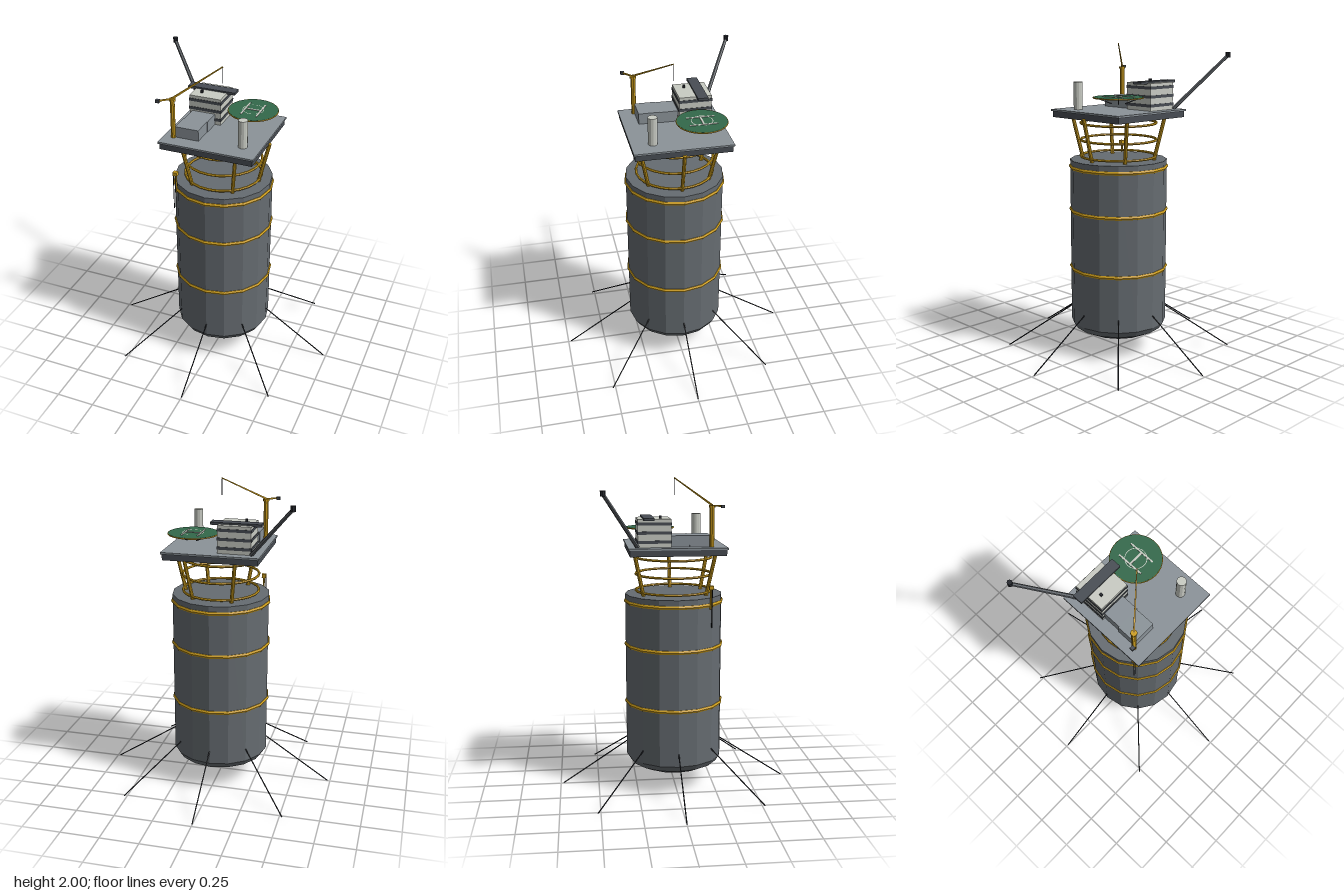
import * as THREE from 'three';

const material = (name, color) => {
  const m = new THREE.MeshStandardMaterial({ color, flatShading: true });
  m.name = name;
  return m;
};

export function createModel() {
  const root = new THREE.Group();
  root.name = 'floatingPlatform';
  const hullGrey = material('hull grey', 0x666c71);
  const yellow = material('safety yellow', 0xd0a01c);
  const deckGrey = material('deck grey', 0x8b9399);
  const darkGrey = material('dark grey', 0x484d54);
  const white = material('off white', 0xc9ccc4);
  const green = material('landing green', 0x33694b);
  const cable = material('cable black', 0x25282e);
  const boomGrey = material('boom grey', 0x60656a);

  const add = (name, geo, mat, x = 0, y = 0, z = 0, parent = root) => {
    const m = new THREE.Mesh(geo, mat);
    m.name = name;
    m.position.set(x, y, z);
    parent.add(m);
    return m;
  };
  // Box given by its lower and upper corners
  const block = (name, mat, a, b) => add(name,
    new THREE.BoxGeometry(b[0] - a[0], b[1] - a[1], b[2] - a[2]), mat,
    (a[0] + b[0]) / 2, (a[1] + b[1]) / 2, (a[2] + b[2]) / 2);
  // Straight round bar between two points
  const bar = (name, mat, a, b, r, sides = 6, r2 = r) => {
    const p = new THREE.Vector3(...a), q = new THREE.Vector3(...b);
    const d = q.clone().sub(p);
    const m = add(name, new THREE.CylinderGeometry(r2, r, d.length(), sides), mat);
    m.position.copy(p).add(q).multiplyScalar(0.5);
    m.quaternion.setFromUnitVectors(new THREE.Vector3(0, 1, 0), d.normalize());
    return m;
  };
  const ring = (name, mat, r, tube, y, segs, x = 0, z = 0) =>
    add(name, new THREE.TorusGeometry(r, tube, 6, segs).rotateX(Math.PI / 2), mat, x, y, z);
  const polar = (deg, r, y, x = 0, z = 0) => {
    const a = THREE.MathUtils.degToRad(deg);
    return [x + r * Math.cos(a), y, z + r * Math.sin(a)];
  };

  // Buoyant hull with rounded bottom
  const profile = [[0, 0.1], [0.12, 0.107], [0.219, 0.129], [0.286, 0.162], [0.31, 0.2], [0.31, 1.27], [0, 1.27]]
    .map(([r, y]) => new THREE.Vector2(r, y));
  add('hull', new THREE.LatheGeometry(profile, 16), hullGrey);
  for (const y of [0.562, 0.943, 1.224]) ring('hullBand', yellow, 0.307, 0.013, y, 16);

  // Eight mooring lines
  for (let i = 0; i < 8; i++) {
    bar('mooringLine', cable, polar(i * 45, 0.308, 0.285), polar(i * 45, 0.732, 0.005), 0.004, 5);
  }

  // Support frame between hull and deck
  for (const y of [1.29, 1.395, 1.502]) ring('frameRing', yellow, 0.242, 0.008, y, 24);
  for (const deg of [0, 55, 125, 240, 305]) {
    bar('frameLeg', yellow, polar(deg, 0.232, 1.265), polar(deg, 0.3, 1.545), 0.012, 8);
  }

  // Deck
  block('deckBeam', darkGrey, [-0.295, 1.537, -0.295], [0.295, 1.577, 0.295]);
  block('deckPlate', deckGrey, [-0.303, 1.575, -0.303], [0.303, 1.587, 0.303]);

  // Living quarters with window bands on all sides
  block('quarters', white, [-0.243, 1.587, -0.243], [-0.037, 1.758, -0.04]);
  for (const y of [1.62, 1.675, 1.73]) {
    block('windowBand', darkGrey, [-0.246, y - 0.009, -0.246], [-0.034, y + 0.009, -0.037]);
  }
  block('roofBeam', darkGrey, [-0.298, 1.752, -0.21], [0.016, 1.768, -0.145]);
  block('roofVent', cable, [-0.192, 1.757, -0.108], [-0.178, 1.775, -0.093]);

  // Equipment modules
  block('moduleRear', deckGrey, [-0.225, 1.587, -0.04], [-0.075, 1.656, 0.075]);
  block('moduleFront', deckGrey, [-0.232, 1.587, 0.075], [-0.08, 1.656, 0.205]);

  // Exhaust stack
  add('exhaustStack', new THREE.CylinderGeometry(0.029, 0.029, 0.175, 12), white, 0.19, 1.673, 0.17);

  // Landing pad with markings and struts
  const hx = 0.14, hz = -0.14, hy = 1.677;
  add('landingPad', new THREE.CylinderGeometry(0.154, 0.154, 0.008, 32), green, hx, hy, hz);
  ring('padEdge', yellow, 0.154, 0.004, hy, 32, hx, hz);
  add('padCircle', new THREE.RingGeometry(0.063, 0.067, 32).rotateX(-Math.PI / 2), white, hx, hy + 0.006, hz);
  for (const s of [-1, 1]) {
    block('padMarkSide', white, [hx + s * 0.05 - 0.005, hy + 0.002, hz - 0.087], [hx + s * 0.05 + 0.005, hy + 0.007, hz + 0.087]);
  }
  block('padMarkBar', white, [hx - 0.05, hy + 0.002, hz - 0.006], [hx + 0.05, hy + 0.007, hz + 0.006]);
  for (let i = 0; i < 4; i++) {
    bar('padStrut', darkGrey, polar(45 + i * 90, 0.04, 1.64, hx, hz), polar(45 + i * 90, 0.13, 1.674, hx, hz), 0.004, 5);
  }

  // Crane
  const cx = -0.242, cz = 0.208;
  bar('cranePost', yellow, [cx, 1.587, cz], [cx, 1.83, cz], 0.015, 8);
  add('craneCap', new THREE.CylinderGeometry(0.02, 0.02, 0.014, 8), yellow, cx, 1.832, cz);
  bar('craneJib', yellow, [cx, 1.84, cz], [-0.003, 1.996, 0.004], 0.007, 4, 0.004);
  bar('counterJib', yellow, [cx, 1.837, cz], [-0.305, 1.837, 0.262], 0.006, 4);
  block('counterweight', darkGrey, [-0.322, 1.826, 0.252], [-0.298, 1.844, 0.274]);
  bar('hoistCable', cable, [-0.005, 1.99, 0.005], [-0.005, 1.89, 0.005], 0.002, 4);

  // Flare boom
  bar('flareBoom', boomGrey, [-0.245, 1.59, -0.245], [-0.52, 1.92, -0.455], 0.013, 6, 0.011);
  add('flareTip', new THREE.CylinderGeometry(0.016, 0.016, 0.032, 8), cable, -0.522, 1.926, -0.457);

  // Side davit with hanging lines
  block('davitHead', yellow, [-0.251, 1.322, 0.195], [-0.224, 1.346, 0.222]);
  bar('davitPost', yellow, [-0.235, 1.2, 0.205], [-0.235, 1.33, 0.205], 0.005, 6);
  for (const x of [-0.25, -0.238]) bar('davitLine', cable, [x, 1.085, 0.213], [x, 1.325, 0.213], 0.003, 4);

  return root;
}
